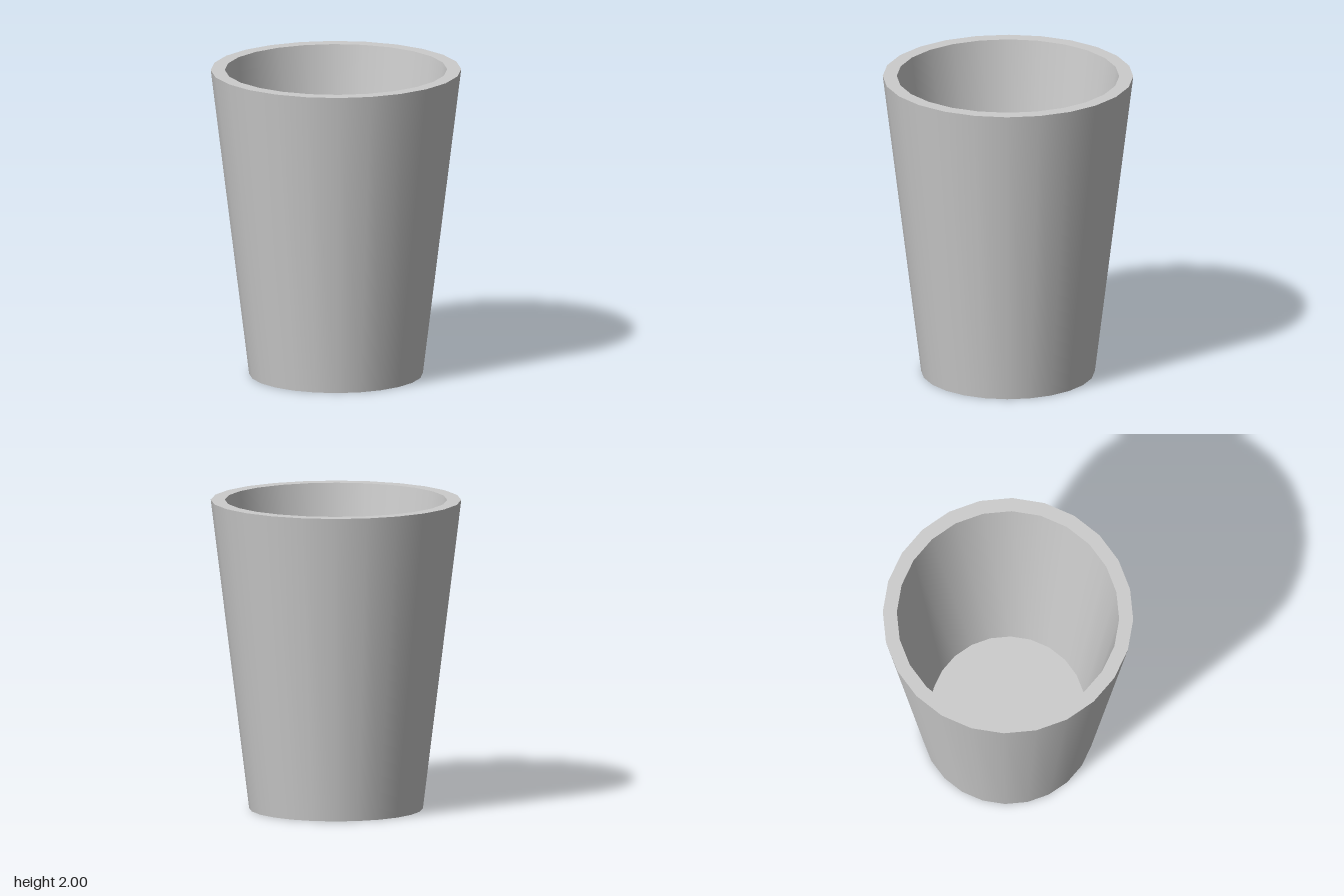
import * as THREE from 'three';

const SIDES = 24;

export function createModel() {
  const cup = new THREE.Group();
  cup.name = 'cup';
  const material = new THREE.MeshStandardMaterial({ color: 0xcccccc });

  // Cross-section from the centre of the base, up and over the rim, to the centre of the floor
  const profile = [[0, 0], [0.557, 0], [0.803, 2], [0.713, 2], [0.499, 0.24], [0, 0.24]]
    .map(([r, y]) => new THREE.Vector2(r, y));
  const names = ['base', 'outerWall', 'rim', 'innerWall', 'floor'];

  // One smooth ring per section, so the edges between them stay sharp
  names.forEach((name, i) => {
    const mesh = new THREE.Mesh(new THREE.LatheGeometry([profile[i], profile[i + 1]], SIDES), material);
    mesh.name = name;
    cup.add(mesh);
  });
  return cup;
}
